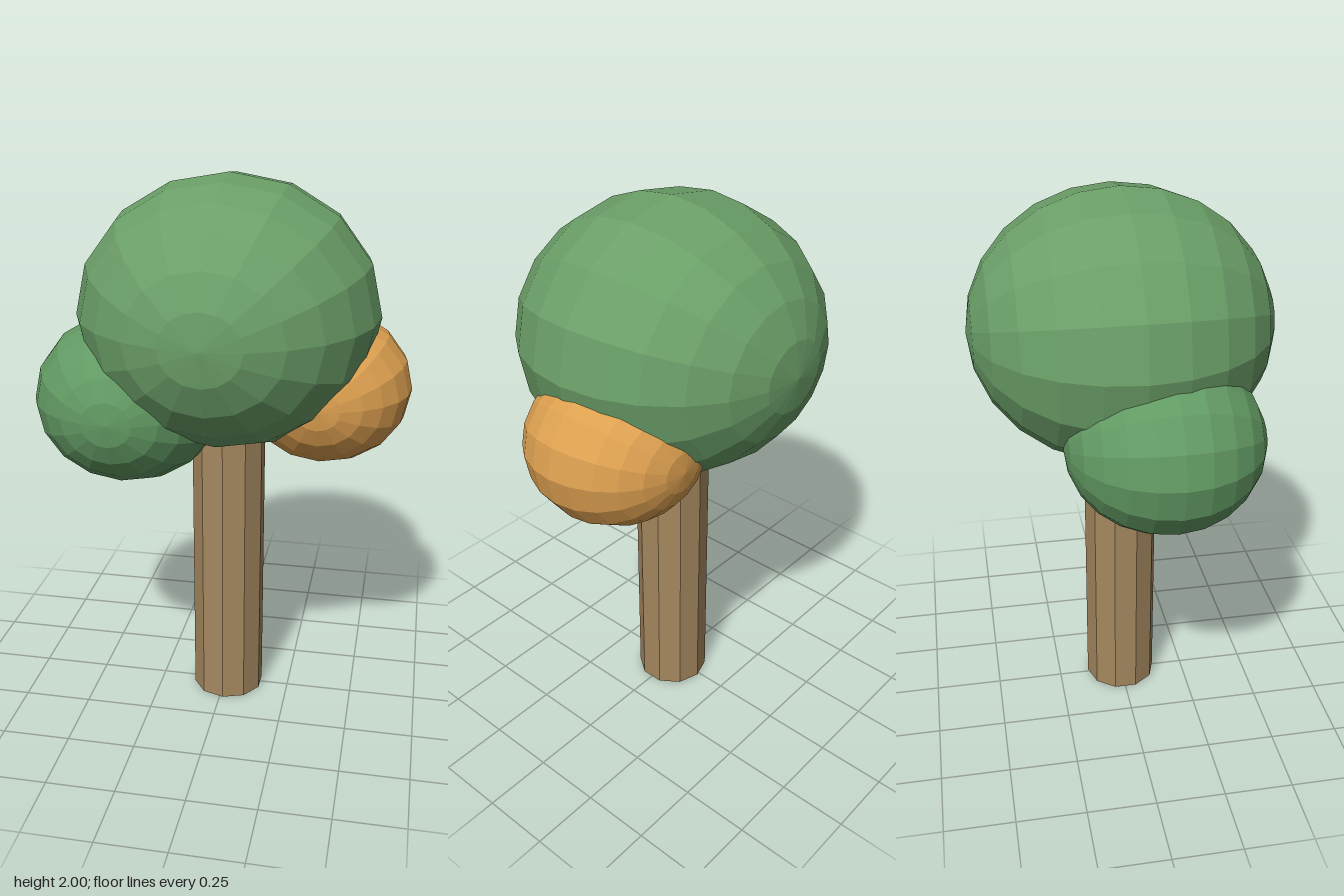
import * as THREE from 'three';

const material = (name, color) => {
  const m = new THREE.MeshStandardMaterial({ color, flatShading: true });
  m.name = name;
  return m;
};

export function createModel() {
  const group = new THREE.Group();
  group.name = 'tree';

  const bark = material('bark brown', 0xa5885f);
  const green = material('leaf green', 0x6b9f68);
  const deepGreen = material('deep leaf green', 0x629a63);
  const orange = material('autumn orange', 0xdda050);

  // Ten-sided trunk, running up into the crown
  const trunk = new THREE.Mesh(new THREE.CylinderGeometry(0.135, 0.135, 1.2, 10), bark);
  trunk.name = 'trunk';
  trunk.position.set(0.012, 0.6, 0);
  group.add(trunk);

  // Slightly squashed faceted balls with their poles facing front and back
  const ball = new THREE.SphereGeometry(1, 16, 12).rotateX(Math.PI / 2);
  const addFoliage = (name, mat, radius, x, y, z) => {
    const mesh = new THREE.Mesh(ball, mat);
    mesh.name = name;
    mesh.scale.set(radius, radius * 0.893, radius);
    mesh.position.set(x, y, z);
    group.add(mesh);
  };
  addFoliage('crown', green, 0.535, 0.012, 1.522, 0);
  addFoliage('rightFoliage', deepGreen, 0.342, -0.328, 1.22, 0.093);
  addFoliage('leftFoliage', orange, 0.308, 0.356, 1.255, -0.048);

  return group;
}
